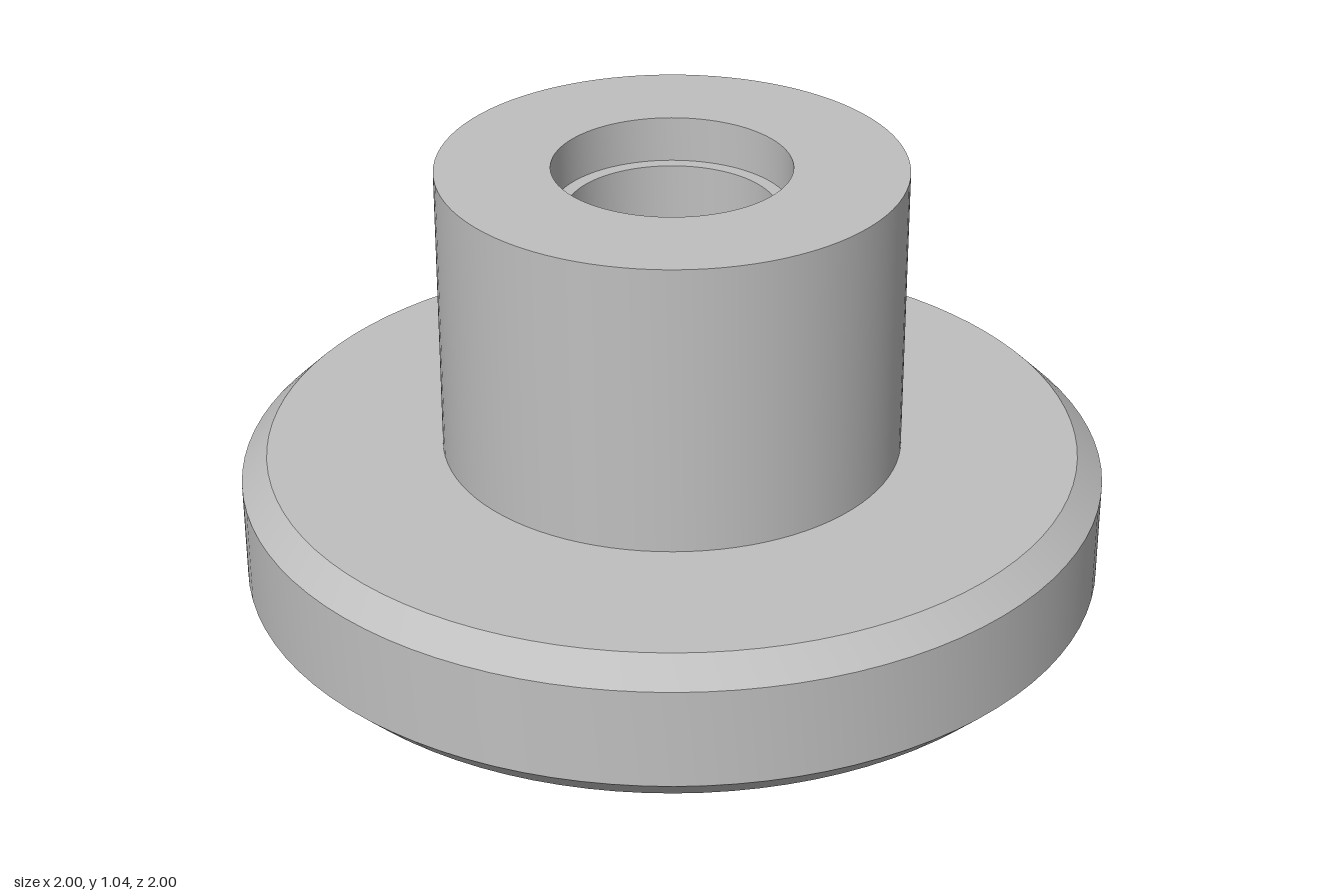
import * as THREE from 'three';
import { toCreasedNormals } from 'three/addons/utils/BufferGeometryUtils.js';

export function createModel() {
  const group = new THREE.Group();
  group.name = 'knob';
  const grey = new THREE.MeshStandardMaterial({ color: 0xbfbfbf });
  grey.name = 'grey';

  const add = (name, geometry) => {
    const mesh = new THREE.Mesh(toCreasedNormals(geometry, 0.4), grey);
    mesh.name = name;
    group.add(mesh);
    return mesh;
  };

  const ledgeY = 0.65; // where the round bore becomes D-shaped
  const floorY = 0.3;  // blind end of the bore
  const boreR = 0.24, shaftR = 0.225, flatZ = 0.11;

  // Chamfered flange, boss and stepped bore in one turned profile
  const profile = [
    [0, 0], [0.94, 0], [1, 0.06], [1, 0.295], [0.94, 0.353],
    [0.533, 0.353], [0.533, 1.037], [0.272, 1.037],
    [0.272, 0.93], [boreR, 0.93], [boreR, ledgeY],
  ].map(([r, y]) => new THREE.Vector2(r, y));
  add('body', new THREE.LatheGeometry(profile, 96));

  // Sleeve with a D-shaped hole, its flat towards the front
  const sleeve = new THREE.Shape().absarc(0, 0, boreR, 0, Math.PI * 2);
  const a = Math.asin(flatZ / shaftR);
  const hole = new THREE.Path().absarc(0, 0, shaftR, -a, Math.PI + a);
  hole.closePath();
  sleeve.holes.push(hole);
  const sleeveGeometry = new THREE.ExtrudeGeometry(sleeve, {
    depth: ledgeY - floorY, bevelEnabled: false, curveSegments: 48,
  });
  sleeveGeometry.rotateX(-Math.PI / 2).translate(0, floorY, 0);
  add('shaftSleeve', sleeveGeometry);

  // Floor of the bore
  const floor = new THREE.CircleGeometry(boreR, 48);
  floor.rotateX(-Math.PI / 2).translate(0, floorY, 0);
  add('boreFloor', floor);

  return group;
}
